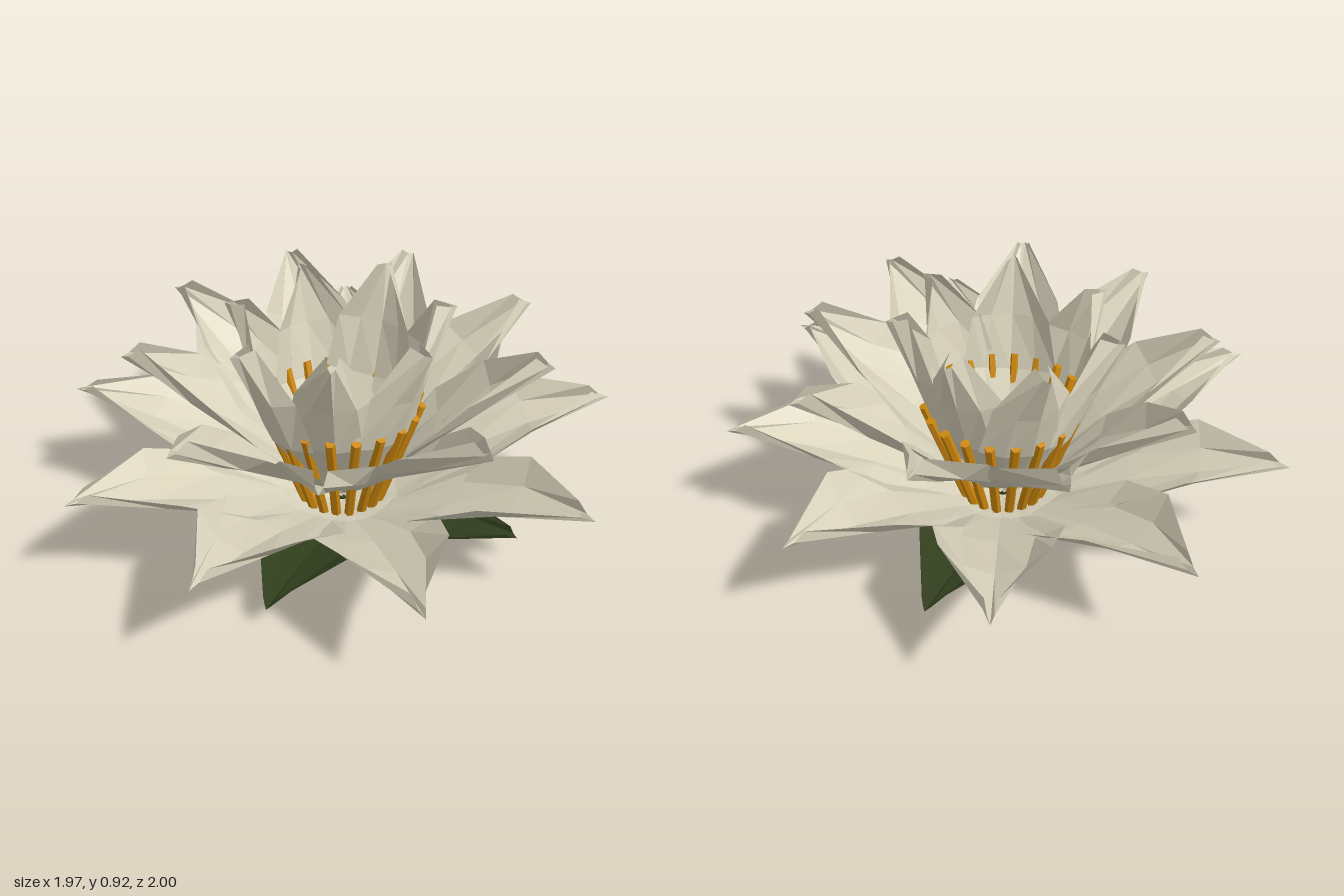
import * as THREE from 'three';

const mat = (name, color) => {
  const m = new THREE.MeshStandardMaterial({ color, flatShading: true, side: THREE.DoubleSide });
  m.name = name;
  return m;
};

// Blade pointing along +x: rows are [radius, height, halfWidth, cup], edges lifted along the profile normal
function bladeGeometry(rows, tipBack) {
  const cols = [-1, -0.55, 0, 0.55, 1];
  const pos = [], index = [];
  rows.forEach(([r, y, w, cup], i) => {
    const a = rows[Math.max(i - 1, 0)], b = rows[Math.min(i + 1, rows.length - 1)];
    const len = Math.hypot(b[0] - a[0], b[1] - a[1]);
    const dr = (b[0] - a[0]) / len, dy = (b[1] - a[1]) / len;
    const back = i === rows.length - 1 ? tipBack : 0;
    for (const v of cols) {
      const lift = cup * v * v, pull = back * Math.abs(v);
      pos.push(r - dy * lift - dr * pull, y + dr * lift - dy * pull, w * v);
    }
  });
  const n = cols.length;
  for (let i = 0; i < rows.length - 1; i++) {
    for (let j = 0; j < n - 1; j++) {
      const p = i * n + j;
      index.push(p, p + 1, p + n, p + 1, p + n + 1, p + n);
    }
  }
  const g = new THREE.BufferGeometry();
  g.setAttribute('position', new THREE.Float32BufferAttribute(pos, 3));
  g.setIndex(index);
  const flat = g.toNonIndexed();
  flat.computeVertexNormals();
  return flat;
}

export function createModel() {
  const model = new THREE.Group();
  model.name = 'waterLily';
  const cream = mat('cream', 0xd9d3bc);
  const gold = mat('gold', 0xd08a0e);
  const green = mat('deepGreen', 0x313e1d);

  // Heights in rows are above the ring's base; each petal is [angle in degrees, tip radius]
  const rings = [
    {
      name: 'outerPetal', base: 0.09, tipBack: 0.06,
      rows: [[0.02, 0, 0.03, 0], [0.2, 0.05, 0.12, 0.015], [0.45, 0.17, 0.23, 0.07],
        [0.7, 0.27, 0.185, 0.105], [1, 0.36, 0.022, 0.06]],
      petals: [[0, 0.99], [39, 0.99], [81.5, 1.01], [122, 1.04], [163, 1.02], [199, 1.04],
        [239, 1.03], [277.5, 1.01], [317, 1.01]],
    },
    {
      name: 'middlePetal', base: 0.11, tipBack: 0.03,
      rows: [[0, 0, 0.03, 0], [0.17, 0.14, 0.12, 0.02], [0.36, 0.305, 0.205, 0.07],
        [0.56, 0.45, 0.155, 0.095], [0.78, 0.62, 0.022, 0.075]],
      petals: [[21, 0.77], [60, 0.74], [99.5, 0.79], [141, 0.8], [178.6, 0.81], [221, 0.765],
        [261, 0.77], [299.6, 0.77], [337.5, 0.76]],
    },
    {
      name: 'innerPetal', base: 0.13, tipBack: 0.01,
      rows: [[0, 0, 0.02, 0], [0.14, 0.13, 0.1, 0.02], [0.27, 0.34, 0.175, 0.065],
        [0.335, 0.54, 0.14, 0.085], [0.41, 0.745, 0.022, 0.08]],
      petals: [[-16, 0.385], [40, 0.4], [90, 0.41], [141, 0.4], [193, 0.44], [242, 0.43], [293, 0.41]],
    },
  ];
  for (const { name, base, tipBack, rows, petals } of rings) {
    const [tipRadius, tipHeight] = rows[rows.length - 1];
    const geometry = bladeGeometry(rows, tipBack);
    for (const [deg, radius] of petals) {
      const petal = new THREE.Mesh(geometry, cream);
      petal.name = name;
      petal.position.y = base;
      // petals that reach further out droop lower
      petal.scale.set(radius / tipRadius, 1 - (radius - tipRadius) / tipHeight, 1);
      petal.rotation.y = -THREE.MathUtils.degToRad(deg);
      model.add(petal);
    }
  }

  // Stamens: a flaring ring of thin rods
  const stamenCount = 20;
  const foot = new THREE.Vector3(0.15, 0.125, 0), head = new THREE.Vector3(0.285, 0.53, 0);
  const along = head.clone().sub(foot);
  const rod = new THREE.CylinderGeometry(0.018, 0.018, along.length(), 6);
  rod.rotateZ(-Math.atan2(along.x, along.y));
  rod.translate((foot.x + head.x) / 2, (foot.y + head.y) / 2, 0);
  for (let i = 0; i < stamenCount; i++) {
    const stamen = new THREE.Mesh(rod, gold);
    stamen.name = 'stamen';
    stamen.rotation.y = (i / stamenCount) * Math.PI * 2;
    model.add(stamen);
  }

  // Four broad leaves below the flower
  const leafGeometry = bladeGeometry([[0, 0, 0.03, 0.05], [0.15, 0.025, 0.15, 0.07],
    [0.32, 0.055, 0.2, 0.07], [0.68, 0.095, 0.025, 0.03]], 0.03);
  for (let i = 0; i < 4; i++) {
    const leaf = new THREE.Mesh(leafGeometry, green);
    leaf.name = 'leaf';
    leaf.rotation.y = THREE.MathUtils.degToRad(22 - 90 * i);
    model.add(leaf);
  }
  return model;
}
